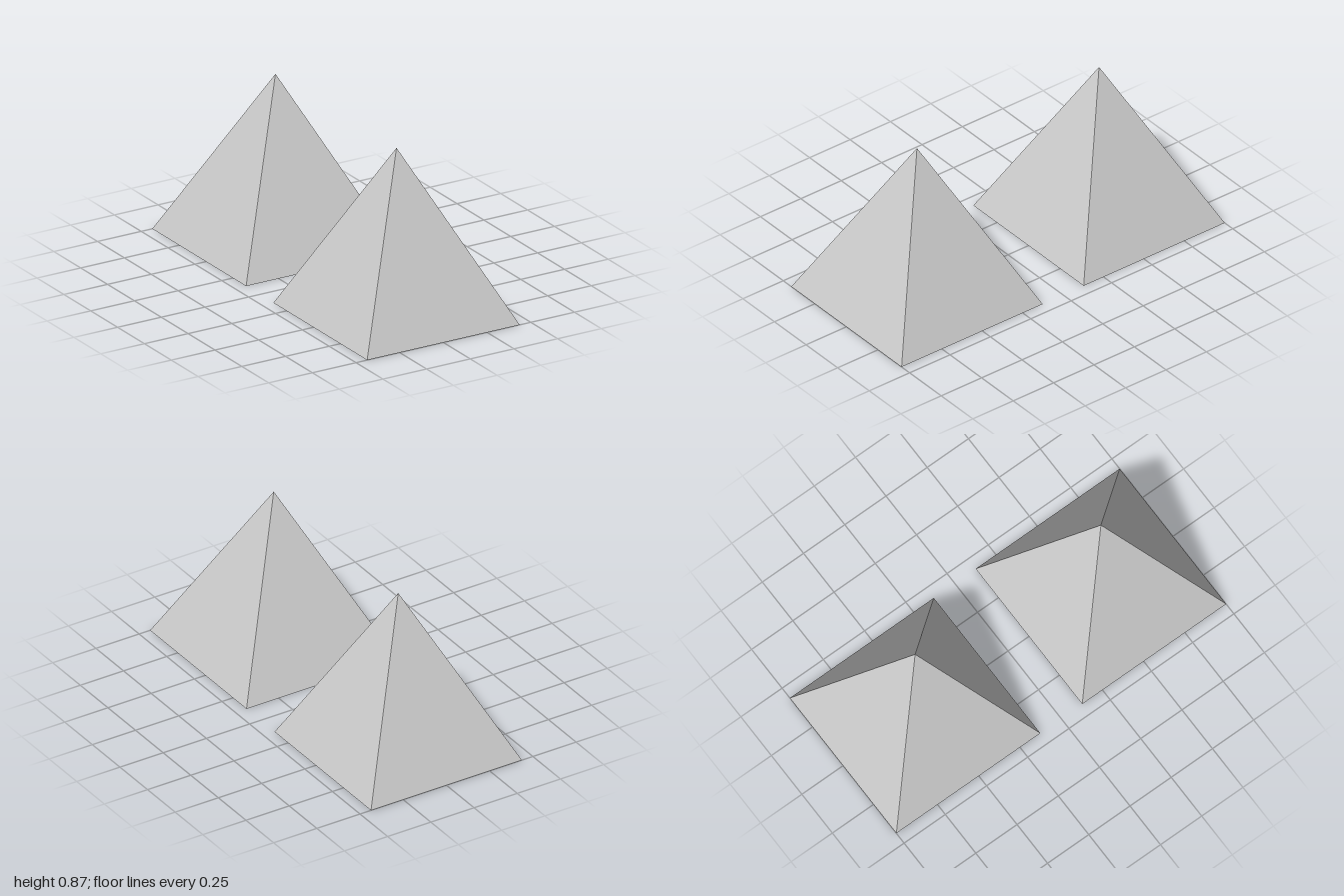
import * as THREE from 'three';

export function createModel() {
  const group = new THREE.Group();
  const material = new THREE.MeshStandardMaterial({ color: 0xcccccc, flatShading: true });

  const side = 0.873;
  const height = 0.873;

  // Square pyramid: a four-sided cone turned so its base edges follow x and z
  const pyramid = new THREE.ConeGeometry(side / Math.SQRT2, height, 4, 1, false, Math.PI / 4);
  pyramid.translate(0, height / 2, 0);

  // One pyramid in front, one behind, with a gap between
  for (const [name, dir] of [['frontPyramid', 1], ['backPyramid', -1]]) {
    const mesh = new THREE.Mesh(pyramid, material);
    mesh.name = name;
    mesh.position.z = dir * (1 - side / 2);
    group.add(mesh);
  }
  return group;
}
